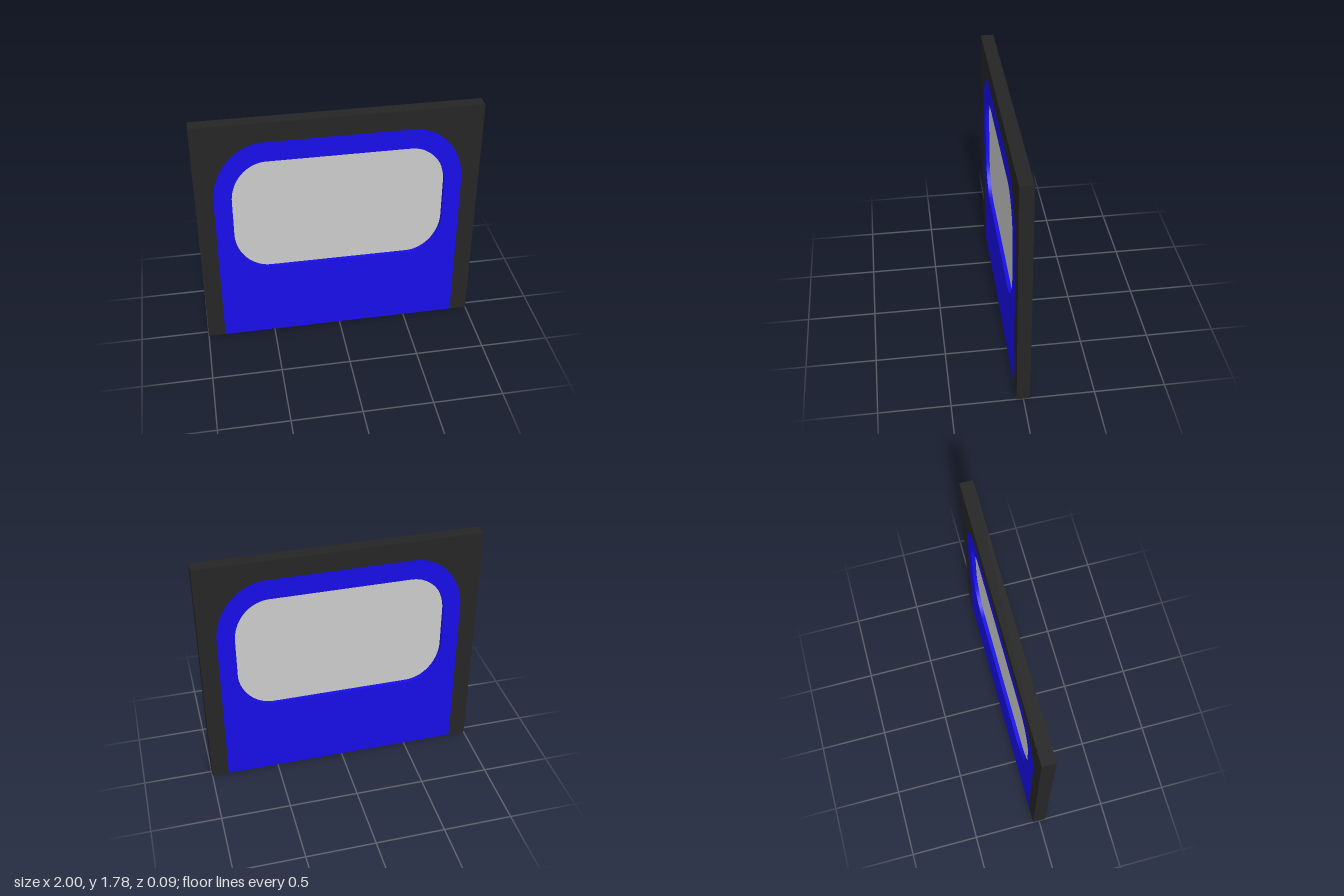
import * as THREE from 'three';

const DEPTH = 0.094;
const GLASS_DEPTH = 0.04;

// Arched outline of the door leaf, open to the floor
function traceArch(path) {
  path.moveTo(-0.875, 0);
  path.lineTo(0.875, 0);
  path.lineTo(0.875, 1.2);
  path.absellipse(0.51, 1.2, 0.365, 0.44, 0, Math.PI / 2, false);
  path.lineTo(-0.51, 1.64);
  path.absellipse(-0.51, 1.2, 0.365, 0.44, Math.PI / 2, Math.PI, false);
  path.closePath();
  return path;
}

// Window outline with elliptical corners
function traceWindow(path) {
  const corners = [[0.5, 1.19], [-0.5, 1.19], [-0.5, 0.9], [0.5, 0.9]];
  path.moveTo(0.75, 0.9);
  corners.forEach(([x, y], i) => {
    path.absellipse(x, y, 0.25, 0.3, i * Math.PI / 2, (i + 1) * Math.PI / 2, false);
  });
  path.closePath();
  return path;
}

// Surround: two legs and a lintel around the arch
function surroundShape() {
  const s = new THREE.Shape();
  s.moveTo(-1, 0);
  s.lineTo(-0.875, 0);
  s.lineTo(-0.875, 1.2);
  s.absellipse(-0.51, 1.2, 0.365, 0.44, Math.PI, Math.PI / 2, true);
  s.lineTo(0.51, 1.64);
  s.absellipse(0.51, 1.2, 0.365, 0.44, Math.PI / 2, 0, true);
  s.lineTo(0.875, 0);
  s.lineTo(1, 0);
  s.lineTo(1, 1.785);
  s.lineTo(-1, 1.785);
  s.closePath();
  return s;
}

function slab(name, shape, depth, color) {
  const geometry = new THREE.ExtrudeGeometry(shape, { depth, bevelEnabled: false, curveSegments: 16 });
  geometry.translate(0, 0, -depth / 2);
  const mesh = new THREE.Mesh(geometry, new THREE.MeshStandardMaterial({ color }));
  mesh.name = name;
  return mesh;
}

export function createModel() {
  const model = new THREE.Group();
  model.name = 'windowedDoor';

  const leaf = traceArch(new THREE.Shape());
  leaf.holes.push(traceWindow(new THREE.Path()));

  model.add(
    slab('surround', surroundShape(), DEPTH, 0x252525),
    slab('doorPanel', leaf, DEPTH, 0x170ee8),
    // Pane recessed equally on both faces
    slab('windowPane', traceWindow(new THREE.Shape()), GLASS_DEPTH, 0xcccccc)
  );
  return model;
}
